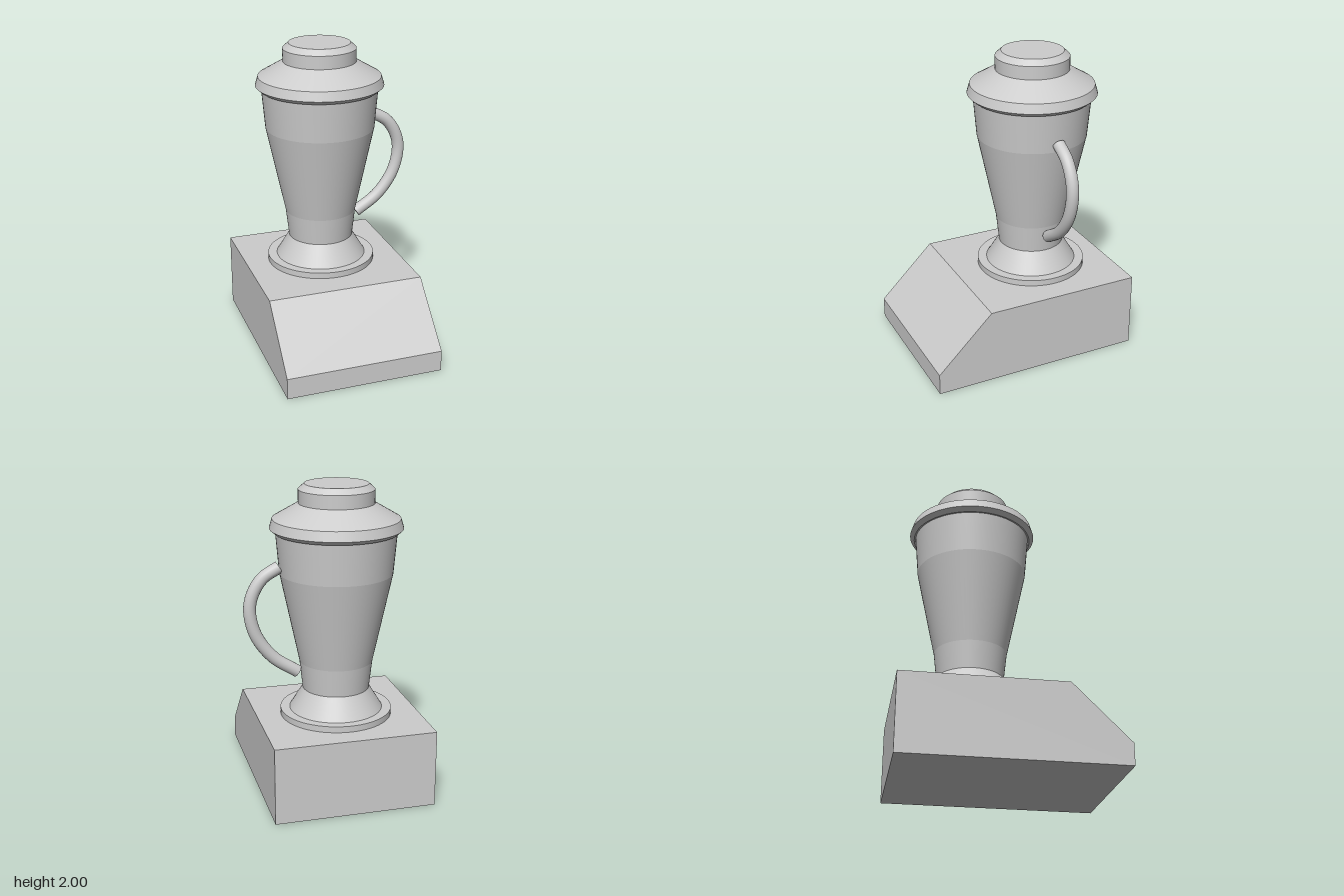
import * as THREE from 'three';
import { mergeGeometries } from 'three/addons/utils/BufferGeometryUtils.js';

const AXIS_X = -0.042, AXIS_Z = -0.2;

// Turned solid with a crisp ring at every profile point [radius, y]
function turned(profile) {
  const bands = [];
  for (let i = 0; i < profile.length - 1; i++) {
    const pts = [profile[i], profile[i + 1]].map(([r, y]) => new THREE.Vector2(r, y));
    bands.push(new THREE.LatheGeometry(pts, 64));
  }
  return mergeGeometries(bands).translate(AXIS_X, 0, AXIS_Z);
}

export function createModel() {
  const group = new THREE.Group();
  const grey = new THREE.MeshStandardMaterial({ color: 0xcccccc });
  grey.name = 'light grey';
  const add = (name, geometry) => {
    const mesh = new THREE.Mesh(geometry, grey);
    mesh.name = name;
    group.add(mesh);
  };

  // Motor base with sloped front: side outline (z, y) extruded along x
  const outline = new THREE.Shape([
    [-0.7, 0], [0.7, 0], [0.7, 0.14], [0.335, 0.5], [-0.7, 0.5],
  ].map(([z, y]) => new THREE.Vector2(-z, y)));
  const base = new THREE.ExtrudeGeometry(outline, { depth: 1.036, bevelEnabled: false });
  base.rotateY(Math.PI / 2).translate(-0.56, 0, 0);
  add('base', base);

  // Collar, flared foot, jar and lid
  add('collar', turned([[0, 0.5], [0.36, 0.5], [0.36, 0.54], [0.3, 0.54]]));
  add('foot', turned([[0.3, 0.54], [0.215, 0.68]]));
  add('jar', turned([[0.215, 0.68], [0.235, 0.86], [0.358, 1.44], [0.38, 1.7]]));
  add('lid', turned([
    [0, 1.7], [0.39, 1.7], [0.418, 1.725], [0.4, 1.785], [0.238, 1.88],
  ]));
  add('cap', turned([[0.238, 1.88], [0.238, 1.965], [0.2, 2], [0, 2]]));

  // Curved handle on the left side, with closed ends
  const path = new THREE.CatmullRomCurve3([
    [0.325, 1.495], [0.43, 1.43], [0.495, 1.33], [0.515, 1.22],
    [0.477, 1.06], [0.37, 0.91], [0.212, 0.8],
  ].map(([x, y]) => new THREE.Vector3(x, y, AXIS_Z)));
  add('handle', new THREE.TubeGeometry(path, 40, 0.04, 20));
  for (const t of [0, 1]) {
    const end = new THREE.CircleGeometry(0.04, 20);
    const out = path.getTangent(t).multiplyScalar(t ? 1 : -1);
    end.applyQuaternion(new THREE.Quaternion().setFromUnitVectors(new THREE.Vector3(0, 0, 1), out));
    const p = path.getPoint(t);
    add('handleEnd', end.translate(p.x, p.y, p.z));
  }
  return group;
}
